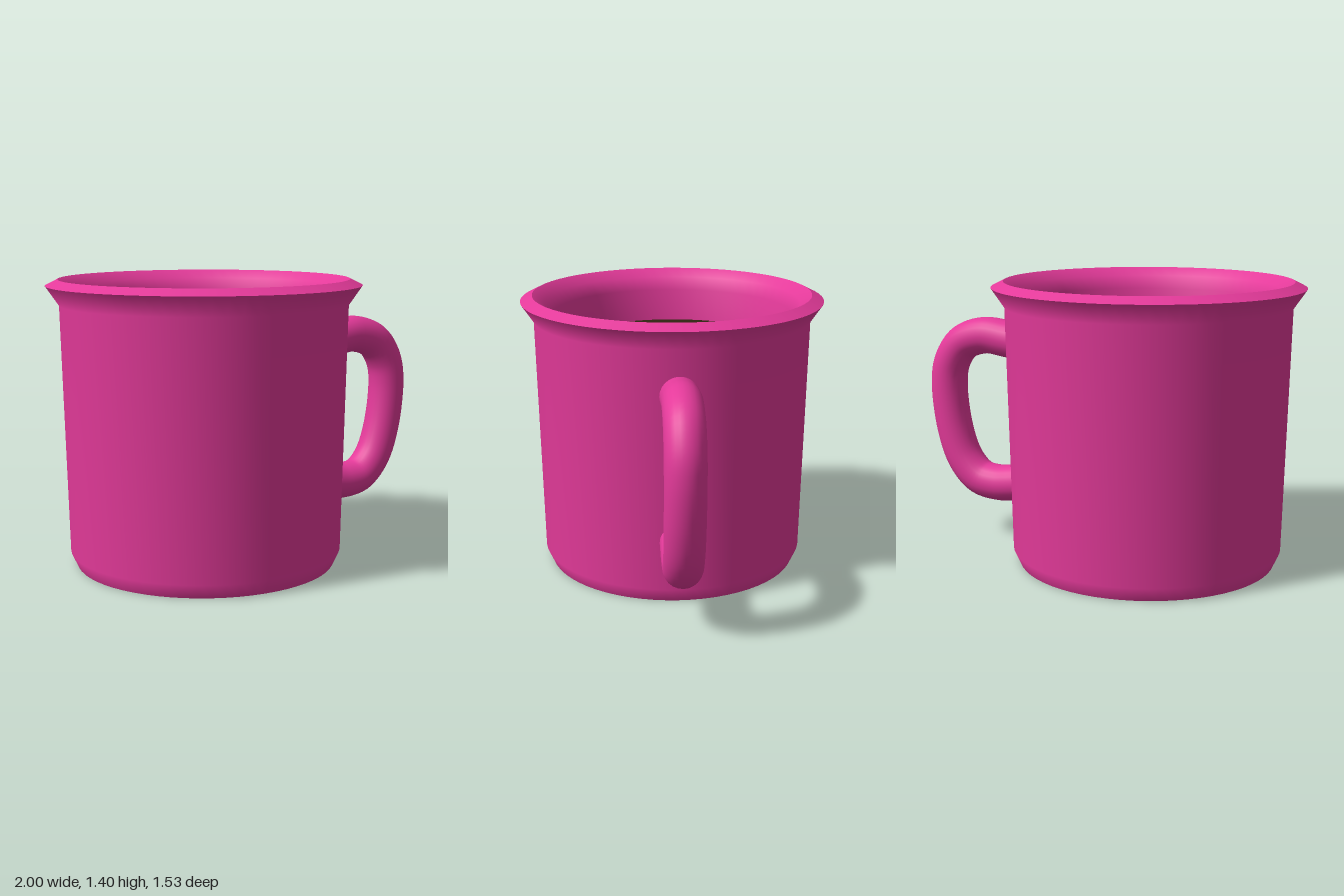
import * as THREE from 'three';

const CENTER_X = -0.235; // cup axis; the handle extends to +x

export function createModel() {
  const model = new THREE.Group();
  model.name = 'mug';

  const enamel = new THREE.MeshStandardMaterial({ color: 0xe43a9a });
  enamel.name = 'pink enamel';
  const coffeeBrown = new THREE.MeshStandardMaterial({ color: 0x2f2210 });
  coffeeBrown.name = 'coffee brown';

  const add = (name, geometry, material, x = 0, y = 0) => {
    const mesh = new THREE.Mesh(geometry, material);
    mesh.name = name;
    mesh.position.set(x, y, 0);
    model.add(mesh);
    return mesh;
  };
  // Each profile is smooth in itself; separate profiles meet in sharp edges
  const turned = (name, profile) =>
    add(name, new THREE.LatheGeometry(profile.map(([r, y]) => new THREE.Vector2(r, y)), 64), enamel, CENTER_X);

  // Cup body
  turned('outerWall', [[0.64, 0], [0.672, 0.07], [0.7, 1.28], [0.765, 1.375]]);
  turned('rim', [[0.765, 1.375], [0.705, 1.405]]);
  turned('innerWall', [[0.705, 1.405], [0.645, 1.365], [0.608, 1.3], [0.59, 1.1]]);
  add('base', new THREE.CircleGeometry(0.64, 64), enamel, CENTER_X).rotation.x = Math.PI / 2;

  // Drink surface
  add('coffee', new THREE.CircleGeometry(0.592, 64), coffeeBrown, CENTER_X, 1.135).rotation.x = -Math.PI / 2;

  // Handle, with both ends sunk into the wall
  const path = new THREE.CatmullRomCurve3([
    [0.39, 1.043], [0.55, 1.068], [0.68, 1.08], [0.81, 1.035], [0.885, 0.93], [0.905, 0.81],
    [0.877, 0.57], [0.815, 0.405], [0.725, 0.315], [0.62, 0.295], [0.53, 0.303], [0.38, 0.33],
  ].map(([x, y]) => new THREE.Vector3(x, y, 0)));
  add('handle', new THREE.TubeGeometry(path, 64, 0.095, 24), enamel);

  return model;
}
